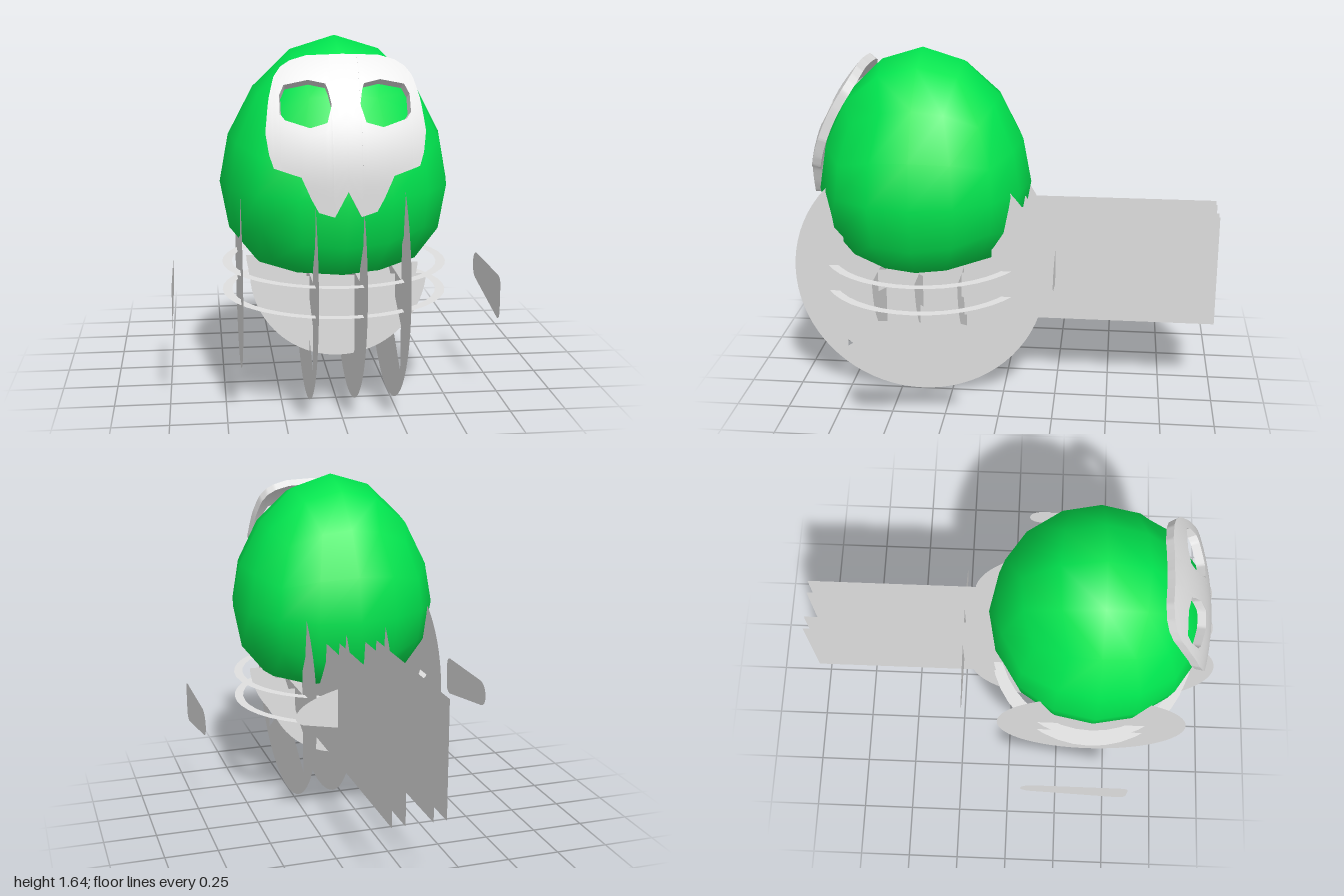
import * as THREE from 'three';
import { mergeVertices } from 'three/addons/utils/BufferGeometryUtils.js';

const grey = new THREE.MeshStandardMaterial({ color: 0xe0e0e0, side: THREE.DoubleSide });
grey.name = 'pale grey';
const green = new THREE.MeshStandardMaterial({ color: 0x00e64f });
green.name = 'bright green';

function add(parent, name, geometry, material) {
  const mesh = new THREE.Mesh(geometry, material);
  mesh.name = name;
  parent.add(mesh);
  return mesh;
}

// Flat sheet drawn in (z, y), standing in a plane of constant x
function sidePlate(parent, name, shape, x) {
  const g = new THREE.ShapeGeometry(shape, 30);
  g.rotateY(-Math.PI / 2);
  add(parent, name, g, grey).position.x = x;
}

// Flat sheet drawn in (x, y), standing in a plane of constant z
function crossPlate(parent, name, shape, z) {
  add(parent, name, new THREE.ShapeGeometry(shape, 24), grey).position.z = z;
}

const points = (pts) => pts.map(([a, b]) => new THREE.Vector2(a, b));

// Piecewise linear profile lookup
function profile(pts, x) {
  for (let i = 1; i < pts.length; i++) {
    const [x0, y0] = pts[i - 1], [x1, y1] = pts[i];
    if (x <= x1) return y0 + (y1 - y0) * (x - x0) / (x1 - x0);
  }
  return pts[pts.length - 1][1];
}

// Subdivided cube rounded to a ball, with a flattened underside
const headHeights = [[-1, 0.605], [-0.924, 0.606], [-0.707, 0.65], [-0.383, 0.79], [0, 1.0],
  [0.383, 1.21], [0.707, 1.42], [0.924, 1.58], [1, 1.64]];
function headGeometry() {
  const box = new THREE.BoxGeometry(2, 2, 2, 4, 4, 4);
  box.deleteAttribute('normal');
  box.deleteAttribute('uv');
  const g = mergeVertices(box);
  const p = g.attributes.position;
  const v = new THREE.Vector3();
  const spread = (t) => Math.tan(t * Math.PI / 4);
  for (let i = 0; i < p.count; i++) {
    v.set(spread(p.getX(i)), spread(p.getY(i)), spread(p.getZ(i))).normalize();
    p.setXYZ(i, v.x * 0.51, profile(headHeights, v.y), v.z * 0.51);
  }
  g.computeVertexNormals();
  return g;
}

// Mask outline and eye opening, as heights over the distance from the middle
const maskTop = [[0, 1.58], [0.15, 1.575], [0.22, 1.555], [0.26, 1.53], [0.29, 1.49], [0.315, 1.4], [0.33, 1.28]];
const maskBottom = [[0, 1.04], [0.055, 0.935], [0.12, 0.955], [0.15, 1.01], [0.19, 1.1], [0.3, 1.135], [0.318, 1.19], [0.33, 1.27]];
const eyeTop = [[0.06, 1.39], [0.075, 1.465], [0.15, 1.48], [0.25, 1.46], [0.27, 1.42]];
const eyeBottom = [[0.06, 1.38], [0.08, 1.315], [0.15, 1.295], [0.25, 1.325], [0.27, 1.35]];

// Curved slab between two profiles, thickened along the surface normal
function maskPiece(parent, name, xa, xb, lower, upper, segments) {
  const g = new THREE.BoxGeometry(1, 1, 1, segments, 10, 1);
  const p = g.attributes.position;
  const v = new THREE.Vector3(), n = new THREE.Vector3();
  for (let i = 0; i < p.count; i++) {
    const x = xa + (xb - xa) * (p.getX(i) + 0.5);
    const ax = Math.abs(x);
    const lo = profile(lower, ax), hi = profile(upper, ax);
    const y = lo + (hi - lo) * (p.getY(i) + 0.5);
    const rise = Math.max(0, y - 1.05);
    v.set(x, y, 0.92 - 0.82 * rise * rise - 0.4 * x * x);
    n.set(0.8 * x, 1.64 * rise, 1).normalize();
    if (p.getZ(i) < 0) v.addScaledVector(n, -0.04);
    p.setXYZ(i, v.x, v.y, v.z);
  }
  g.computeVertexNormals();
  add(parent, name, g, grey);
}

// Round rib notched on top for the head
function ribShape() {
  const a = Math.acos(0.36 / 0.6);
  const rib = new THREE.Shape();
  rib.absarc(0.4, 0.6, 0.6, Math.PI - a, 2 * Math.PI + a, false);
  rib.lineTo(0.76, 0.617);
  rib.lineTo(0.06, 0.617);
  rib.closePath();
  return rib;
}

export function createModel() {
  const model = new THREE.Group();
  model.name = 'maskedHead';

  add(model, 'head', headGeometry(), green).position.z = 0.4;

  // Mask
  const mask = new THREE.Group();
  mask.name = 'mask';
  model.add(mask);
  maskPiece(mask, 'noseBridge', -0.06, 0.06, maskBottom, maskTop, 24);
  for (const s of [-1, 1]) {
    const span = (a, b) => (s > 0 ? [a, b] : [-b, -a]);
    maskPiece(mask, 'brow', ...span(0.06, 0.27), eyeTop, maskTop, 21);
    maskPiece(mask, 'cheek', ...span(0.06, 0.27), maskBottom, eyeBottom, 21);
    maskPiece(mask, 'temple', ...span(0.27, 0.33), maskBottom, maskTop, 10);
  }

  // Large upright ribs: a solid one between two with a chevron opening
  const openRib = ribShape();
  openRib.holes.push(new THREE.Path(points(
    [[0.76, 0.21], [0.76, 0.42], [0.41, 0.605], [0.06, 0.42], [0.06, 0.21], [0.41, 0.45]])));
  sidePlate(model, 'openRib', openRib, 0.25);
  sidePlate(model, 'middleRib', ribShape(), 0.07);
  sidePlate(model, 'openRib', openRib, -0.13);

  // Smaller solid disc on one side
  const disc = new THREE.Shape();
  disc.absarc(0.4, 0.61, 0.46, 0, Math.PI * 2, false);
  sidePlate(model, 'sideDisc', disc, -0.43);

  // Half-round cross plates under the head
  const half = new THREE.Shape();
  half.absarc(0, 0.63, 0.39, Math.PI + 0.064, Math.PI * 2 - 0.064, false);
  half.closePath();
  for (const z of [0.2, 0.4, 0.6]) crossPlate(model, 'crossPlate', half, z);

  // Flat level rings
  for (const y of [0.5, 0.63]) {
    const g = new THREE.RingGeometry(0.462, 0.505, 40);
    g.rotateX(-Math.PI / 2);
    add(model, 'ring', g, grey).position.set(0, y, 0.4);
  }

  // Long tail sheets
  const sheet = new THREE.Shape(points([[-1, 0.36], [0.4, 0.36], [0.4, 0.9], [-1, 0.9]]));
  for (const x of [-0.085, -0.025, 0.1, 0.16]) sidePlate(model, 'tailSheet', sheet, x);

  // Tapered fin across the tail
  const fin = new THREE.Shape();
  fin.moveTo(-0.11, 0.53);
  fin.lineTo(0.11, 0.53);
  fin.lineTo(0.33, 0.57);
  fin.quadraticCurveTo(0.4, 0.6, 0.33, 0.66);
  fin.quadraticCurveTo(0.26, 0.71, 0.11, 0.74);
  fin.lineTo(-0.11, 0.74);
  fin.quadraticCurveTo(-0.26, 0.71, -0.33, 0.66);
  fin.quadraticCurveTo(-0.4, 0.6, -0.33, 0.57);
  fin.closePath();
  crossPlate(model, 'tailFin', fin, -0.24);

  // Rounded paddles floating at both sides
  const paddle = new THREE.Shape();
  paddle.moveTo(0.54, 0.37);
  paddle.quadraticCurveTo(0.59, 0.37, 0.59, 0.42);
  paddle.lineTo(0.59, 0.53);
  paddle.quadraticCurveTo(0.59, 0.57, 0.54, 0.57);
  paddle.lineTo(0.13, 0.57);
  paddle.quadraticCurveTo(0.07, 0.56, 0.065, 0.5);
  paddle.quadraticCurveTo(0.07, 0.45, 0.12, 0.44);
  paddle.closePath();
  for (const x of [-0.73, 0.73]) sidePlate(model, 'paddle', paddle, x);

  return model;
}
